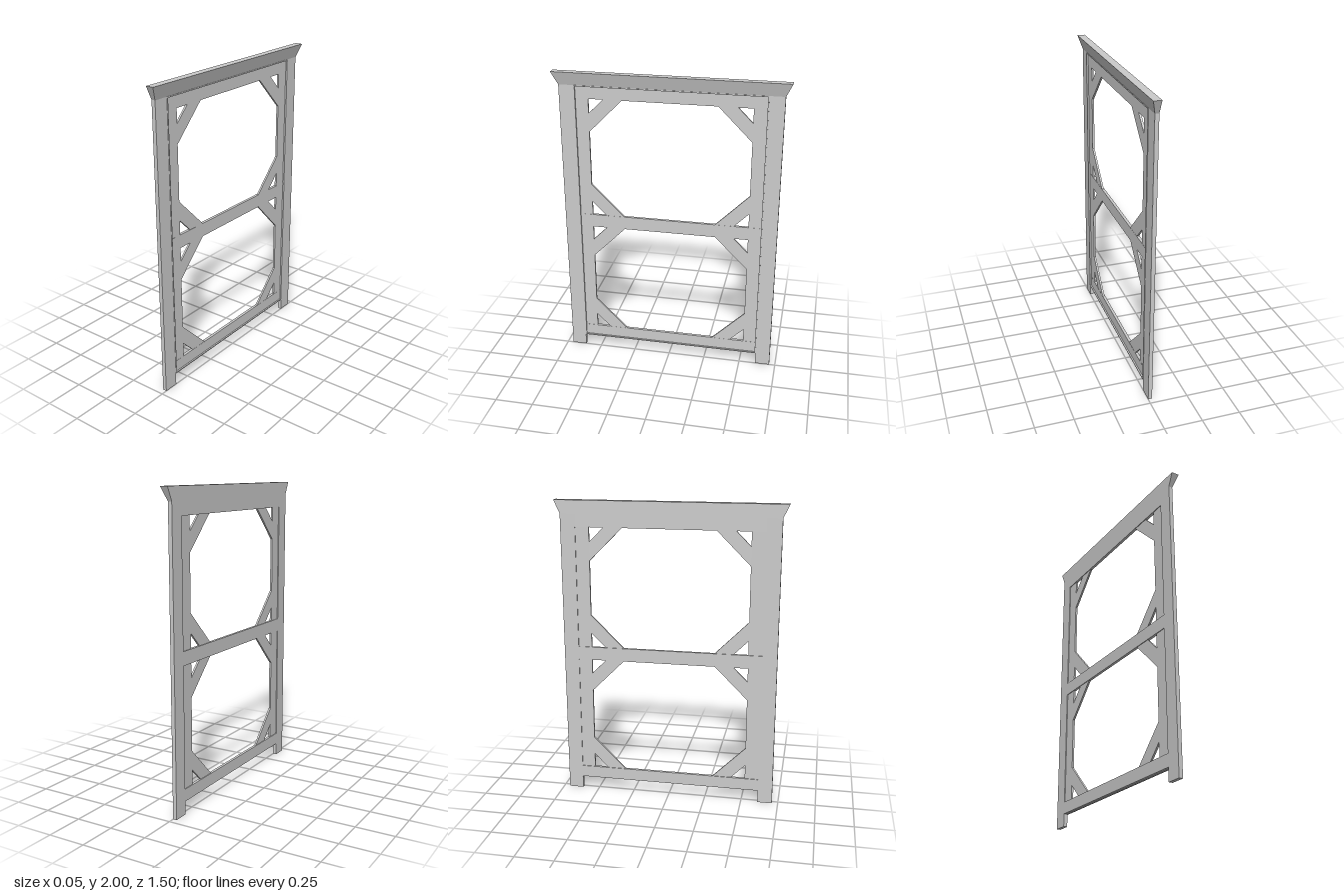
import * as THREE from 'three';

const material = new THREE.MeshStandardMaterial({ color: 0xcccccc, flatShading: true });

// Depths along x: back face, panel front, post front
const BACK = -0.026, PANEL = -0.008, FRONT = 0;

export function createModel() {
  const group = new THREE.Group();

  const add = (name, geometry) => {
    const mesh = new THREE.Mesh(geometry, material);
    mesh.name = name;
    group.add(mesh);
    return mesh;
  };

  // Box given by its limits on each axis
  const box = (name, x0, x1, y0, y1, z0, z1) => {
    const g = new THREE.BoxGeometry(x1 - x0, y1 - y0, z1 - z0);
    g.translate((x0 + x1) / 2, (y0 + y1) / 2, (z0 + z1) / 2);
    return add(name, g);
  };

  // Outline in (z, y), extruded along x
  const slab = (name, points, x0, x1) => {
    const shape = new THREE.Shape(points.map(([z, y]) => new THREE.Vector2(z, y)));
    const g = new THREE.ExtrudeGeometry(shape, { depth: x1 - x0, bevelEnabled: false });
    g.rotateY(-Math.PI / 2);
    g.translate(x1, 0, 0);
    return add(name, g);
  };

  // Lintel flaring outwards to the front and both ends
  const lintel = new THREE.BoxGeometry(1, 1, 1);
  const p = lintel.attributes.position;
  for (let i = 0; i < p.count; i++) {
    const top = p.getY(i) > 0;
    p.setXYZ(i,
      p.getX(i) < 0 ? BACK : top ? 0.025 : FRONT,
      top ? 2 : 1.915,
      Math.sign(p.getZ(i)) * (top ? 0.75 : 0.71));
  }
  lintel.computeVertexNormals();
  add('lintel', lintel);

  // Posts, stiles and the side edges of the panel
  for (const s of [-1, 1]) {
    const side = (name, x0, x1, y0, y1, a, b) =>
      box(name, x0, x1, y0, y1, Math.min(s * a, s * b), Math.max(s * a, s * b));
    side('post', BACK, FRONT, 0, 1.915, 0.612, 0.71);
    side('stile', BACK + 0.005, PANEL, 0.085, 1.915, 0.522, 0.612);
    side('panelSideEdge', PANEL, FRONT + 0.003, 0.085, 1.915, 0.605, 0.612);
  }

  // Rails across the panel
  for (const [y0, y1] of [[0.085, 0.165], [0.945, 1.033], [1.83, 1.915]]) {
    box('rail', BACK, PANEL + 0.001, y0, y1, -0.612, 0.612);
  }

  // Top and bottom edges of the panel
  box('panelBottomEdge', PANEL, FRONT + 0.003, 0.082, 0.089, -0.612, 0.612);
  box('panelTopEdge', PANEL, FRONT + 0.003, 1.908, 1.915, -0.612, 0.612);

  // Diagonal braces in the corners of both openings
  for (const [y0, y1] of [[0.165, 0.945], [1.033, 1.83]]) {
    for (const s of [-1, 1]) {
      for (const [y, d] of [[y0, 1], [y1, -1]]) {
        const z = s * 0.522;
        slab('brace', [
          [z, y + d * 0.095],
          [z, y + d * 0.218],
          [z - s * 0.218, y],
          [z - s * 0.095, y],
        ], BACK + 0.005, PANEL);
      }
    }
  }

  return group;
}
